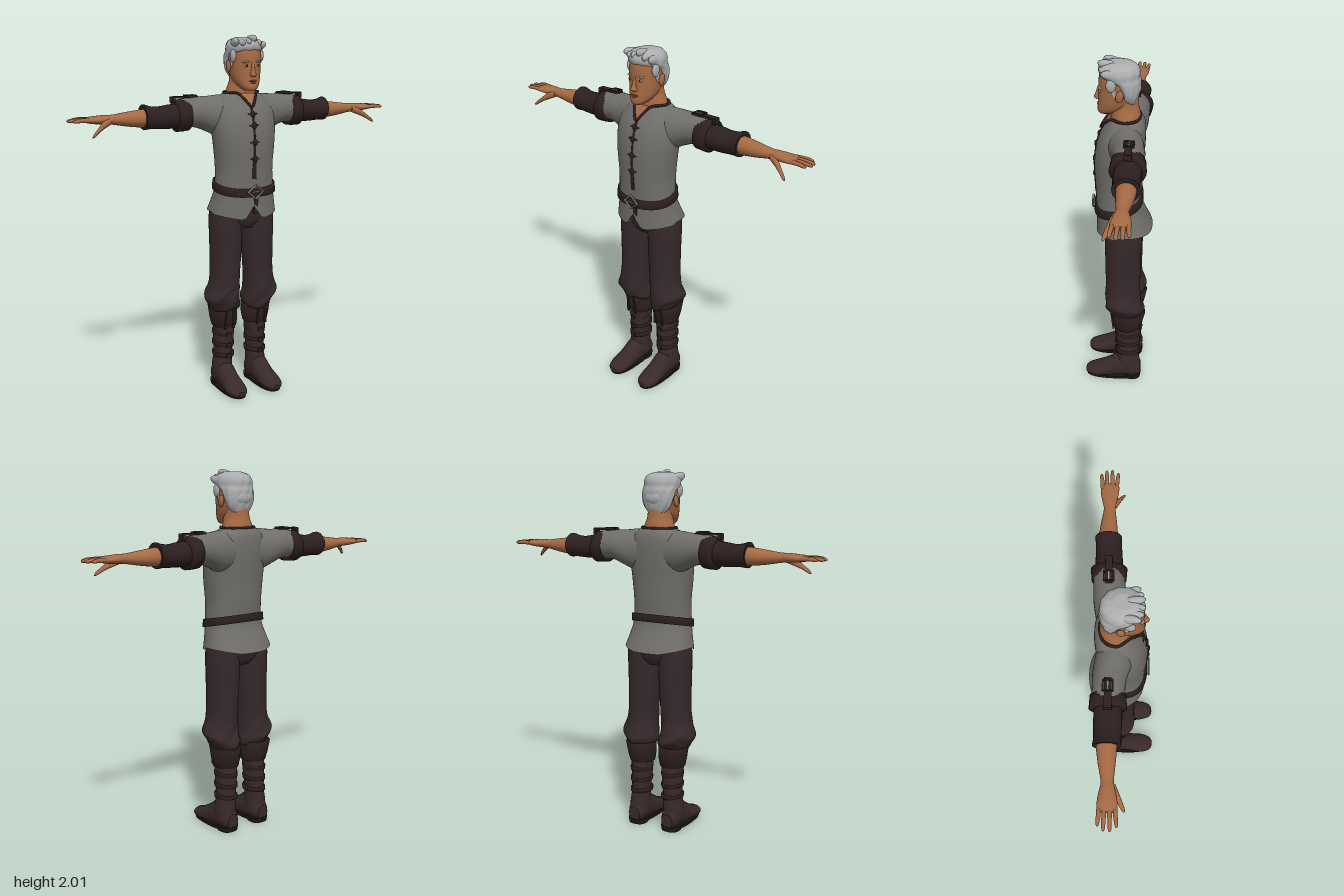
import * as THREE from 'three';

const mat = (name, color, side = THREE.FrontSide) => {
  const m = new THREE.MeshStandardMaterial({ color, side });
  m.name = name;
  return m;
};

// Smooth interpolation through cross-sections [t, c1, c2, r1, r2]
function refine(rings, sub) {
  if (sub < 2) return rings;
  const out = [], n = rings.length, at = (i) => rings[Math.max(0, Math.min(n - 1, i))];
  for (let i = 0; i < n - 1; i++) for (let k = 0; k < sub; k++) {
    const u = k / sub;
    out.push(at(i).map((b, c) => {
      const a = at(i - 1)[c], d = at(i + 1)[c], e = at(i + 2)[c];
      return b + 0.5 * u * (d - a + u * (2 * a - 5 * b + 4 * d - e + u * (3 * (b - d) + e - a)));
    }));
  }
  out.push(rings[n - 1]);
  return out;
}

// Skin over elliptical cross-sections along an axis; p > 2 squares them off, warp moves each point
function loft(axis, rings, { n = 28, sub = 4, p = 2, cap = true, warp } = {}) {
  const R = refine(rings, sub), pos = [], idx = [];
  const flip = (axis !== 'y') !== (R[R.length - 1][0] < R[0][0]);
  const tri = (a, b, c) => (flip ? idx.push(a, c, b) : idx.push(a, b, c));
  const put = ([t, a, b, ra, rb], th) => {
    const f = (v) => Math.sign(v) * Math.pow(Math.abs(v), 2 / p);
    const u = a + ra * f(Math.cos(th)), w = b + rb * f(Math.sin(th));
    const v = axis === 'y' ? new THREE.Vector3(u, t, w)
      : axis === 'x' ? new THREE.Vector3(t, u, w) : new THREE.Vector3(u, w, t);
    if (warp) warp(v, th);
    pos.push(v.x, v.y, v.z);
  };
  const ring = (r) => { for (let j = 0; j < n; j++) put(r, (j / n) * Math.PI * 2); };
  R.forEach(ring);
  for (let i = 0; i < R.length - 1; i++) for (let j = 0; j < n; j++) {
    const a = i * n + j, b = i * n + (j + 1) % n;
    tri(a, a + n, b);
    tri(b, a + n, b + n);
  }
  if (cap) [R[0], R[R.length - 1]].forEach((r, e) => {
    const s = pos.length / 3;
    ring(r);
    put([r[0], r[1], r[2], 0, 0], 0);
    for (let j = 0; j < n; j++) {
      const a = s + j, b = s + (j + 1) % n;
      e ? tri(a, s + n, b) : tri(a, b, s + n);
    }
  });
  const g = new THREE.BufferGeometry();
  g.setAttribute('position', new THREE.Float32BufferAttribute(pos, 3));
  g.setIndex(idx);
  g.computeVertexNormals();
  return g;
}

export function createModel() {
  const model = new THREE.Group();
  const skin = mat('skin', 0xa66a44), lipCol = mat('lips', 0x83503a), hairCol = mat('hair grey', 0xabadae);
  const cloth = mat('tunic grey', 0x706e6a, THREE.DoubleSide), trouser = mat('trouser brown', 0x35282a);
  const boot = mat('boot brown', 0x38292a), leather = mat('dark leather', 0x2d1f1f, THREE.DoubleSide);
  const metal = mat('buckle metal', 0x8d8a86), eyeCol = mat('eye white', 0xc9c2b8), dark = mat('dark', 0x1d1718);
  const add = (name, geo, m, x = 0, y = 0, z = 0) => {
    const o = new THREE.Mesh(geo, m);
    o.name = name;
    o.position.set(x, y, z);
    model.add(o);
    return o;
  };
  const ball = (name, m, r, x, y, z) => {
    const o = add(name, new THREE.SphereGeometry(1, 18, 12), m, x, y, z);
    o.scale.set(...r);
    return o;
  };
  const box = (name, m, w, h, d, x, y, z) => add(name, new THREE.BoxGeometry(w, h, d), m, x, y, z);

  // Head and neck
  add('neck', loft('y', [[1.62, 0, -.03, .1, .07], [1.70, 0, -.035, .086, .078], [1.76, 0, -.027, .067, .075],
    [1.84, 0, -.02, .064, .075]]), skin);
  add('head', loft('y', [[1.715, 0, .072, .026, .032], [1.73, 0, .055, .047, .056], [1.76, 0, .03, .067, .079],
    [1.80, 0, .012, .078, .094], [1.85, 0, .003, .084, .102], [1.90, 0, 0, .086, .104], [1.94, 0, 0, .078, .095],
    [1.975, 0, 0, .05, .065]], { p: 2.15 }), skin);
  add('nose', loft('y', [[1.786, 0, .1, .009, .008], [1.797, 0, .105, .018, .024], [1.82, 0, .104, .011, .018],
    [1.862, 0, .096, .009, .012]], { n: 14 }), skin);
  ball('upperLip', lipCol, [.024, .005, .008], 0, 1.766, .105);
  ball('lowerLip', lipCol, [.019, .006, .008], 0, 1.757, .104);
  for (const s of [-1, 1]) {
    ball('eye', eyeCol, [.014, .006, .006], s * .034, 1.846, .096);
    ball('iris', dark, [.006, .006, .004], s * .034, 1.846, .1);
    const brow = ball('eyebrow', hairCol, [.021, .005, .007], s * .037, 1.866, .096);
    brow.rotation.set(0, s * .3, s * -.1);
    ball('ear', skin, [.011, .032, .02], s * .089, 1.84, -.008).rotation.x = -.15;
  }

  // Hair: wavy cap, tied back lobe and swept locks
  add('hair', loft('y', [[1.775, 0, -.065, .045, .025], [1.81, 0, -.055, .076, .046], [1.85, 0, -.052, .09, .056],
    [1.895, 0, -.035, .094, .077], [1.92, 0, -.007, .096, .1], [1.95, 0, 0, .096, .106], [1.978, 0, .002, .08, .09],
    [1.994, 0, .005, .04, .05]], {
    n: 48, warp: (v, th) => {
      const k = 1 + .018 * Math.sin(th * 11 + v.y * 40);
      v.x *= k;
      v.z *= k;
    },
  }), hairCol);
  ball('hairLobe', hairCol, [.07, .05, .045], 0, 1.86, -.07);
  for (let i = 0; i < 6; i++) {
    const x = -.07 + i * .028;
    ball('hairLock', hairCol, [.021, .026, .06], x, 1.966 + .012 * Math.cos(i * 2.1) - x * x * 3, .05 - x * x * 4)
      .rotation.set(-.25, x * 4, 0);
  }
  for (const s of [-1, 1]) {
    ball('templeHair', hairCol, [.013, .035, .026], s * .084, 1.897, .036);
    ball('sideburn', hairCol, [.006, .028, .011], s * .082, 1.86, .02);
  }

  // Tunic with flared hem notched at the front
  const torso = [[1.03, 0, -.032, .196, .155], [1.11, 0, -.015, .18, .135], [1.19, 0, 0, .168, .122],
    [1.3, 0, 0, .163, .127], [1.42, 0, 0, .174, .131], [1.52, 0, -.008, .182, .13], [1.6, 0, -.021, .176, .12],
    [1.66, 0, -.036, .148, .1], [1.695, 0, -.037, .102, .08]];
  add('tunic', loft('y', torso, {
    n: 64, p: 2.25, cap: false, warp: (v) => {
      const low = THREE.MathUtils.clamp((1.15 - v.y) / .12, 0, 1);
      if (v.z > 0) v.y += low * (Math.max(0, 1 - Math.abs(v.x) / .05) * .075 - .012);
      v.y += low * .2 * Math.max(0, Math.abs(v.x) - .08);
    },
  }), cloth);
  const frontZ = (y) => {
    const i = Math.max(0, torso.findIndex((r) => r[0] > y) - 1), [a, b] = [torso[i], torso[i + 1]];
    const u = (y - a[0]) / (b[0] - a[0]);
    return THREE.MathUtils.lerp(a[2] + a[4], b[2] + b[4], u);
  };

  // Collar opening and trim
  const opening = new THREE.BufferGeometry();
  opening.setAttribute('position', new THREE.Float32BufferAttribute(
    [-.05, 1.698, .042, 0, 1.632, .094, .05, 1.698, .042], 3));
  opening.computeVertexNormals();
  add('neckOpening', opening, skin);
  const trim = [[0, 1.628, .097], [.028, 1.662, .075], [.055, 1.697, .04], [.1, 1.7, -.03], [.06, 1.7, -.1],
    [-.06, 1.7, -.1], [-.1, 1.7, -.03], [-.055, 1.697, .04], [-.028, 1.662, .075]].map((q) => new THREE.Vector3(...q));
  add('collarTrim', new THREE.TubeGeometry(new THREE.CatmullRomCurve3(trim, true), 60, .007, 8, true), leather);

  // Front fastening
  const ys = [1.24, 1.3, 1.36, 1.42, 1.48, 1.54, 1.6, 1.632];
  add('placket', loft('y', ys.map((y) => [y, 0, frontZ(y), y < 1.36 ? .012 : .006, .006]), { n: 10 }), leather);
  for (const y of [1.35, 1.44, 1.53, 1.59]) {
    ball('clasp', leather, [.015, .018, .009], 0, y, frontZ(y) + .003);
    box('claspStrap', leather, .055, .007, .007, 0, y, frontZ(y));
  }

  // Belt, sloping down to the front
  add('belt', loft('y', [[1.168, 0, 0, .165, .12], [1.168, 0, 0, .181, .134], [1.212, 0, 0, .178, .132],
    [1.212, 0, 0, .16, .115]], { n: 48, sub: 1, p: 2.25, cap: false, warp: (v) => { v.y -= v.z * .2; } }), leather);
  const buckle = add('beltBuckle', new THREE.TorusGeometry(.038, .006, 6, 4), metal, 0, 1.172, .141);
  buckle.scale.x = 1.2;
  box('bucklePin', metal, .05, .007, .006, 0, 1.172, .143);
  box('beltTail', leather, .026, .1, .008, .012, 1.095, .118).rotation.x = .1;

  // Trousers
  add('hips', loft('y', [[.95, 0, -.03, .1, .07], [.99, 0, -.03, .165, .094], [1.06, 0, -.03, .178, .106],
    [1.16, 0, -.01, .16, .108]], { p: 2.3 }), trouser);

  for (const s of [-1, 1]) {
    const legLoft = (name, rings, m, o) => add(name, loft('y', rings.map(([y, x, ...r]) => [y, s * x, ...r]), o), m);
    legLoft('trouserLeg', [[.47, .1, -.045, .07, .075], [.487, .1, -.043, .082, .092], [.52, .108, -.046, .092, .108],
      [.56, .122, -.037, .1, .107], [.62, .112, -.03, .087, .1], [.7, .105, -.03, .083, .098], [.85, .1, -.03, .089, .1],
      [1, .1, -.03, .092, .102], [1.08, .095, -.03, .088, .1]], trouser, {
      n: 36, warp: (v, th) => {
        // Gathered folds over the boot
        const f = THREE.MathUtils.clamp((.66 - v.y) / .08, 0, 1);
        v.z += f * .004 * Math.sin(th * 5 + v.y * 50);
        v.y += f * .012 * Math.sin(th * 2 + s);
      },
    });

    // Boots
    legLoft('bootCuff', [[.37, .1, -.055, .058, .062], [.375, .1, -.056, .07, .076], [.42, .102, -.058, .078, .088],
      [.49, .108, -.06, .08, .101], [.49, .108, -.06, .06, .075]], leather, { sub: 1, cap: false, n: 32 });
    legLoft('bootShaft', [[.06, .11, -.07, .056, .064], [.12, .11, -.063, .057, .069], [.2, .105, -.064, .051, .063],
      [.3, .102, -.06, .056, .071], [.4, .1, -.056, .062, .072]], boot);
    for (const y of [.2, .265, .33]) {
      legLoft('bootStrap', [[y - .012, .103, -.062, .05, .06], [y - .01, .103, -.062, .06, .074],
        [y + .01, .103, -.062, .061, .075], [y + .012, .103, -.062, .05, .06]], leather, { sub: 1, cap: false });
      box('strapBuckle', leather, .028, .024, .01, s * .103, y, .012);
    }
    for (const dx of [-.022, .022]) {
      box('cuffTie', leather, .014, .12, .01, s * .103 + dx, .43, .03).rotation.set(.12, 0, dx * 3);
    }
    add('bootFoot', loft('z', [[-.137, s * .11, .06, .035, .045], [-.1, s * .11, .075, .052, .07],
      [-.02, s * .11, .082, .054, .084], [.05, s * .111, .058, .056, .062], [.12, s * .113, .042, .06, .038],
      [.17, s * .113, .036, .045, .026], [.19, s * .113, .032, .02, .014]],
    { warp: (v) => { v.y = Math.max(v.y, .018); } }), boot);
    legLoft('bootSole', [[.006, .112, .028, .058, .158], [.026, .112, .028, .061, .164]], dark, { sub: 1, p: 2.5 });
    legLoft('bootHeel', [[0, .11, -.085, .052, .052], [.03, .11, -.085, .056, .056]], dark, { sub: 1, p: 2.6 });

    // Sleeves and arms
    const armLoft = (name, rings, m, o) => add(name, loft('x', rings.map(([x, ...r]) => [s * x, ...r]), o), m);
    armLoft('sleeve', [[.05, 1.58, -.04, .112, .085], [.14, 1.577, -.047, .112, .094], [.2, 1.587, -.06, .096, .088],
      [.27, 1.599, -.067, .082, .082], [.35, 1.593, -.07, .078, .081]], cloth);
    armLoft('sleeveBand', [[.315, 1.587, -.07, .07, .075], [.31, 1.587, -.07, .086, .089], [.34, 1.585, -.07, .087, .091],
      [.375, 1.583, -.07, .086, .094], [.38, 1.583, -.07, .06, .065]], leather, { sub: 1, cap: false });
    armLoft('lowerSleeve', [[.34, 1.582, -.07, .066, .07], [.42, 1.58, -.07, .064, .07], [.47, 1.577, -.071, .06, .069],
      [.52, 1.58, -.072, .06, .067], [.555, 1.584, -.074, .067, .07], [.562, 1.584, -.075, .062, .066],
      [.558, 1.582, -.075, .045, .048]], leather, { sub: 3 });
    armLoft('forearmAndHand', [[.5, 1.58, -.075, .048, .052], [.57, 1.578, -.075, .047, .05], [.65, 1.578, -.073, .038, .042],
      [.73, 1.58, -.07, .026, .031], [.77, 1.582, -.07, .024, .037], [.82, 1.582, -.07, .021, .047],
      [.86, 1.583, -.069, .016, .049], [.88, 1.583, -.069, .01, .043]], skin);
    [[-.107, -.114, .945], [-.083, -.087, .967], [-.058, -.057, .97], [-.034, -.026, .952]].forEach(([z0, z1, tip]) =>
      armLoft('finger', [[.85, 1.583, z0, .012, .012], [.9, 1.586, (z0 + z1) / 2, .011, .011],
        [tip - .015, 1.583, z1, .009, .009], [tip, 1.581, z1, .003, .003]], skin, { n: 10, sub: 3 }));
    armLoft('thumb', [[.745, 1.575, -.05, .018, .018], [.785, 1.56, -.032, .02, .018], [.825, 1.533, -.01, .013, .013],
      [.852, 1.511, .004, .01, .01], [.864, 1.502, .009, .003, .003]], skin, { n: 12 });

    // Shoulder strap with buckle frame
    box('shoulderStrap', leather, .15, .01, .036, s * .325, 1.681, -.07);
    box('strapEnd', leather, .018, .03, .04, s * .392, 1.668, -.07);
    for (const dz of [-.024, .024]) box('strapFrameSide', leather, .055, .012, .008, s * .29, 1.686, -.07 + dz);
    for (const dx of [-.026, .026]) box('strapFrameBar', leather, .008, .012, .05, s * (.29 + dx), 1.686, -.07);
    box('strapPin', metal, .05, .005, .006, s * .29, 1.689, -.07);
  }
  return model;
}
